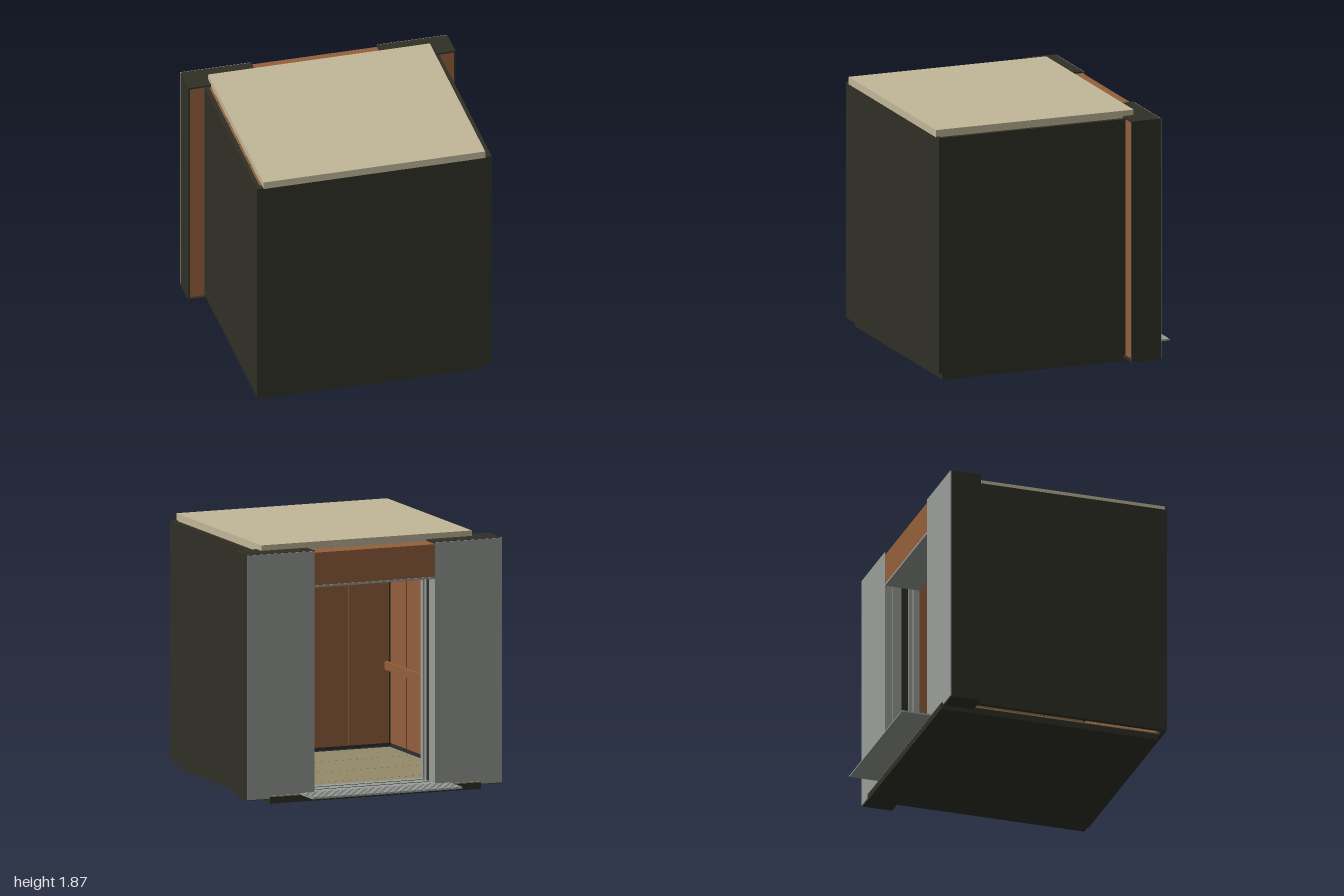
import * as THREE from 'three';

const mat = (name, color, side = THREE.FrontSide) => {
  const m = new THREE.MeshStandardMaterial({ color, side });
  m.name = name;
  return m;
};

export function createModel() {
  const dark = mat('dark shell', 0x303026);
  const wood = mat('copper panel', 0x945f3c);
  const cream = mat('cream roof', 0xc2b799);
  const tile = mat('olive floor', 0x938b69);
  const steel = mat('grey steel', 0x999d99);

  const model = new THREE.Group();
  model.name = 'liftCar';

  // Box given by its minimum and maximum on each axis
  const box = (name, material, x0, x1, y0, y1, z0, z1) => {
    const mesh = new THREE.Mesh(new THREE.BoxGeometry(x1 - x0, y1 - y0, z1 - z0), material);
    mesh.position.set((x0 + x1) / 2, (y0 + y1) / 2, (z0 + z1) / 2);
    mesh.name = name;
    model.add(mesh);
    return mesh;
  };
  // The same box on both sides of the car
  const pair = (name, material, x0, x1, ...rest) => {
    box(name + 'Left', material, x0, x1, ...rest);
    box(name + 'Right', material, -x1, -x0, ...rest);
  };

  // Base and tiled floor
  box('base', dark, -0.83, 0.83, 0, 0.048, -0.745, 0.91);
  const n = 4, tw = 1.66 / n, td = 1.655 / n, gap = 0.002;
  for (let i = 0; i < n; i++) {
    for (let j = 0; j < n; j++) {
      const x = -0.83 + i * tw, z = -0.745 + j * td;
      box('floorTile', tile, x + (i ? gap : 0), x + tw - (i < n - 1 ? gap : 0), 0.048, 0.056,
        z + (j ? gap : 0), z + td - (j < n - 1 ? gap : 0));
    }
  }

  // Outer shell and roof
  pair('sideShell', dark, 0.848, 0.88, 0.06, 1.82, -0.5, 0.96);
  box('rearShell', dark, -0.848, 0.848, 0.06, 1.82, 0.93, 0.96);
  box('roof', cream, -0.83, 0.83, 1.815, 1.87, -0.585, 0.962);
  pair('ceilingBeam', wood, 0.26, 0.3, 1.79, 1.815, -0.5, 0.9);

  // Inner wall panels separated by narrow joints
  const seams = [-0.5, -0.28, 0.015, 0.315, 0.61, 0.905];
  for (let i = 0; i < seams.length - 1; i++) {
    pair('sidePanel', wood, 0.83, 0.847, 0.085, 1.812, seams[i] + 0.006, seams[i + 1] - 0.006);
  }
  for (let i = 0; i < 5; i++) {
    const x = -0.83 + i * 0.332;
    box('rearPanel', wood, x + 0.006, x + 0.326, 0.085, 1.812, 0.912, 0.929);
  }

  // Handrails on short brackets
  pair('handrail', wood, 0.775, 0.8, 0.63, 0.69, -0.4, 0.88);
  for (const z of [-0.3, 0.02, 0.32, 0.62]) {
    pair('railBracket', wood, 0.8, 0.83, 0.645, 0.675, z - 0.15, z - 0.12);
  }

  // Door pockets: copper core in a dark frame with a steel face
  pair('pocketCore', wood, 0.5, 0.988, 0.055, 1.818, -0.72, -0.502);
  pair('pocketSide', dark, 0.988, 1.0, 0.03, 1.83, -0.727, -0.5);
  pair('pocketTop', dark, 0.47, 0.988, 1.818, 1.83, -0.727, -0.5);
  pair('pocketBottom', dark, 0.83, 0.988, 0.03, 0.042, -0.727, -0.5);
  pair('pocketFace', steel, 0.475, 1.0, 0.035, 1.828, -0.734, -0.727);

  // Door jambs, recess and the edges of the retracted leaves
  pair('jambOuter', steel, 0.475, 0.5, 0.056, 1.57, -0.727, -0.675);
  pair('outerLeafEdge', steel, 0.482, 0.5, 0.056, 1.57, -0.67, -0.605);
  pair('doorRecess', dark, 0.492, 0.4995, 0.056, 1.57, -0.605, -0.502);
  pair('innerLeafEdge', steel, 0.482, 0.5, 0.056, 1.57, -0.55, -0.52);
  pair('jambInner', steel, 0.475, 0.5, 0.056, 1.57, -0.515, -0.47);

  // Header and lintel over the opening
  box('header', wood, -0.5, 0.5, 1.575, 1.814, -0.726, -0.502);
  box('lintel', steel, -0.476, 0.476, 1.56, 1.575, -0.732, -0.47);

  // Threshold with tracks, and the ribbed landing sill
  box('sill', steel, -0.59, 0.59, 0.05, 0.059, -0.967, -0.738);
  for (let i = 0; i < 6; i++) {
    const z = -0.962 + i * 0.037;
    box('sillRib', steel, -0.59, 0.59, 0.059, 0.064, z, z + 0.026);
  }
  box('threshold', steel, -0.475, 0.475, 0.05, 0.063, -0.738, -0.47);
  for (const z of [-0.65, -0.55]) {
    box('doorTrack', dark, -0.47, 0.47, 0.0625, 0.0645, z - 0.005, z + 0.005);
  }

  return model;
}
